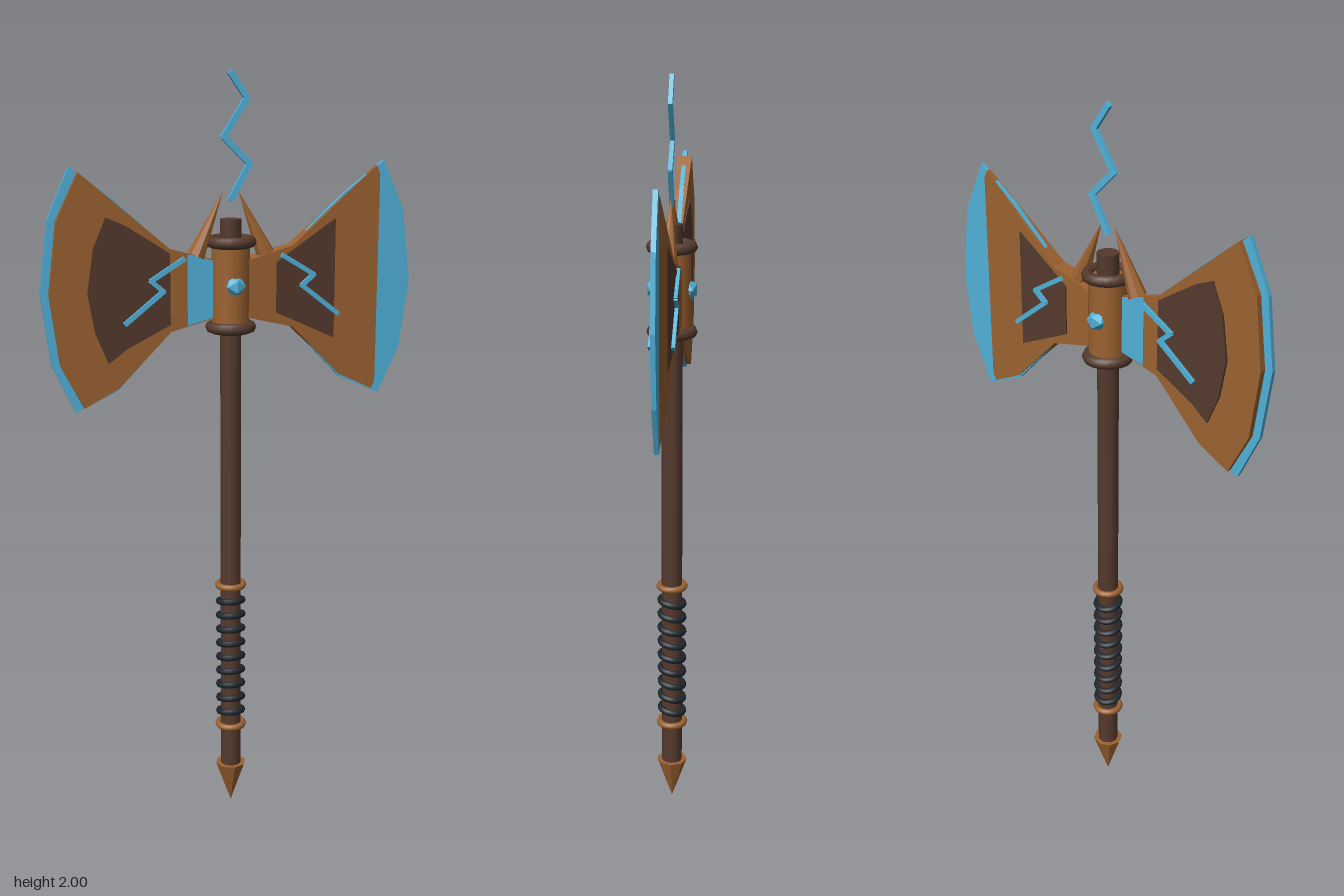
import * as THREE from 'three';

const mat = (name, color) => Object.assign(new THREE.MeshStandardMaterial({ color }), { name });

export function createModel() {
  const bronze = mat('bronze', 0x9c6230);
  const wood = mat('darkWood', 0x553a2e);
  const blue = mat('glowBlue', 0x50b0d8);
  const leather = mat('blackLeather', 0x1f262d);
  const model = new THREE.Group();
  model.name = 'doubleAxe';

  const add = (name, geo, material, x = 0, y = 0, z = 0) => {
    const mesh = new THREE.Mesh(geo, material);
    mesh.name = name;
    mesh.position.set(x, y, z);
    model.add(mesh);
    return mesh;
  };
  const faceted = (geo) => {
    const g = geo.index ? geo.toNonIndexed() : geo;
    g.computeVertexNormals();
    return g;
  };
  const ring = (name, y, radius, tube, material, tilt = 0) => {
    add(name, new THREE.TorusGeometry(radius, tube, 8, 20), material, 0, y).rotation.x = Math.PI / 2 + tilt;
  };

  // Plate from an outline, its half thickness following a rule along x
  const plate = (name, points, side, half, material) => {
    const shape = new THREE.Shape(points.map(([x, y]) => new THREE.Vector2(x * side, y)));
    const geo = new THREE.ExtrudeGeometry(shape, { depth: 1, bevelEnabled: false });
    const p = geo.attributes.position;
    for (let i = 0; i < p.count; i++) {
      p.setZ(i, (p.getZ(i) - 0.5) * 2 * half(Math.abs(p.getX(i))));
    }
    add(name, faceted(geo), material);
  };

  // Jagged bolt made of straight bars
  const bolt = (name, points, side, z, width, depth) => {
    for (let i = 1; i < points.length; i++) {
      const [ax, ay] = points[i - 1], [bx, by] = points[i];
      const dx = (bx - ax) * side, dy = by - ay;
      const bar = add(name, new THREE.BoxGeometry(Math.hypot(dx, dy) + width * 0.5, width, depth), blue,
        side * (ax + bx) / 2, (ay + by) / 2, z);
      bar.rotation.z = Math.atan2(dy, dx);
    }
  };

  // Shaft, pommel and grip
  add('shaft', new THREE.CylinderGeometry(0.028, 0.028, 1.53, 12), wood, 0, 0.875);
  add('pommel', faceted(new THREE.ConeGeometry(0.042, 0.12, 8)), bronze, 0, 0.06).rotation.x = Math.PI;
  ring('gripCollar', 0.655, 0.034, 0.009, bronze);
  ring('gripCollar', 0.24, 0.034, 0.009, bronze);
  for (let i = 0; i < 9; i++) ring('gripWrap', 0.28 + i * 0.041, 0.032, 0.009, leather, -0.2);

  // Hub with its two rims and gems
  add('hub', new THREE.CylinderGeometry(0.05, 0.05, 0.22, 12), bronze, 0, 1.475);
  ring('hubRim', 1.365, 0.051, 0.015, wood);
  ring('hubRim', 1.583, 0.051, 0.015, wood);
  for (const s of [1, -1]) add('gem', faceted(new THREE.IcosahedronGeometry(0.028, 0)), blue, 0, 1.475, s * 0.04);

  // Blade outlines, listed for the +x side
  const edge = [[0.04, 1.535], [0.16, 1.568], [0.3, 1.695], [0.41, 1.778], [0.467, 1.65], [0.49, 1.47],
    [0.467, 1.29], [0.41, 1.165], [0.3, 1.215], [0.16, 1.362], [0.04, 1.393]];
  const body = [[0.04, 1.538], [0.16, 1.57], [0.3, 1.69], [0.39, 1.765], [0.447, 1.65], [0.47, 1.47],
    [0.447, 1.29], [0.39, 1.178], [0.3, 1.222], [0.16, 1.36], [0.04, 1.39]];
  const inlay = [[0.115, 1.53], [0.2, 1.585], [0.275, 1.633], [0.325, 1.655], [0.358, 1.58], [0.375, 1.47],
    [0.358, 1.37], [0.325, 1.29], [0.275, 1.325], [0.2, 1.36], [0.115, 1.4]];
  const smallBolt = [[0.13, 1.547], [0.215, 1.495], [0.183, 1.468], [0.282, 1.39]];

  // The left blade thins toward its edge, the right blade thickens toward it
  const blades = [
    { side: 1, bodyHalf: (x) => 0.0314 - 0.0635 * x, inlayHalf: (x) => Math.max(0.001, 0.014 + 0.085 * (0.275 - x)) },
    { side: -1, bodyHalf: (x) => 0.052 * x, inlayHalf: (x) => Math.max(0.001, 0.0083 + 0.085 * (x - 0.16)) },
  ];
  for (const { side, bodyHalf, inlayHalf } of blades) {
    plate('bladeEdge', edge, side, () => 0.006, blue);
    plate('bladeBody', body, side, bodyHalf, bronze);
    plate('bladeInlay', inlay, side, inlayHalf, wood);
    for (const s of [1, -1]) bolt('bladeBolt', smallBolt, side, s * 0.028, 0.012, 0.009);

    // Spike leaning in above the hub
    const base = new THREE.Vector3(side * 0.092, 1.55, 0), tip = new THREE.Vector3(side * 0.02, 1.71, 0);
    const dir = tip.clone().sub(base);
    const spike = add('spike', faceted(new THREE.ConeGeometry(0.024, dir.length(), 8)), bronze);
    spike.position.copy(base).add(tip).multiplyScalar(0.5);
    spike.quaternion.setFromUnitVectors(new THREE.Vector3(0, 1, 0), dir.normalize());
  }

  // Bolt rising from the top
  bolt('topBolt', [[0, 1.995], [0.042, 1.935], [-0.018, 1.842], [0.049, 1.775], [0, 1.688]], 1, 0, 0.015, 0.011);

  return model;
}
